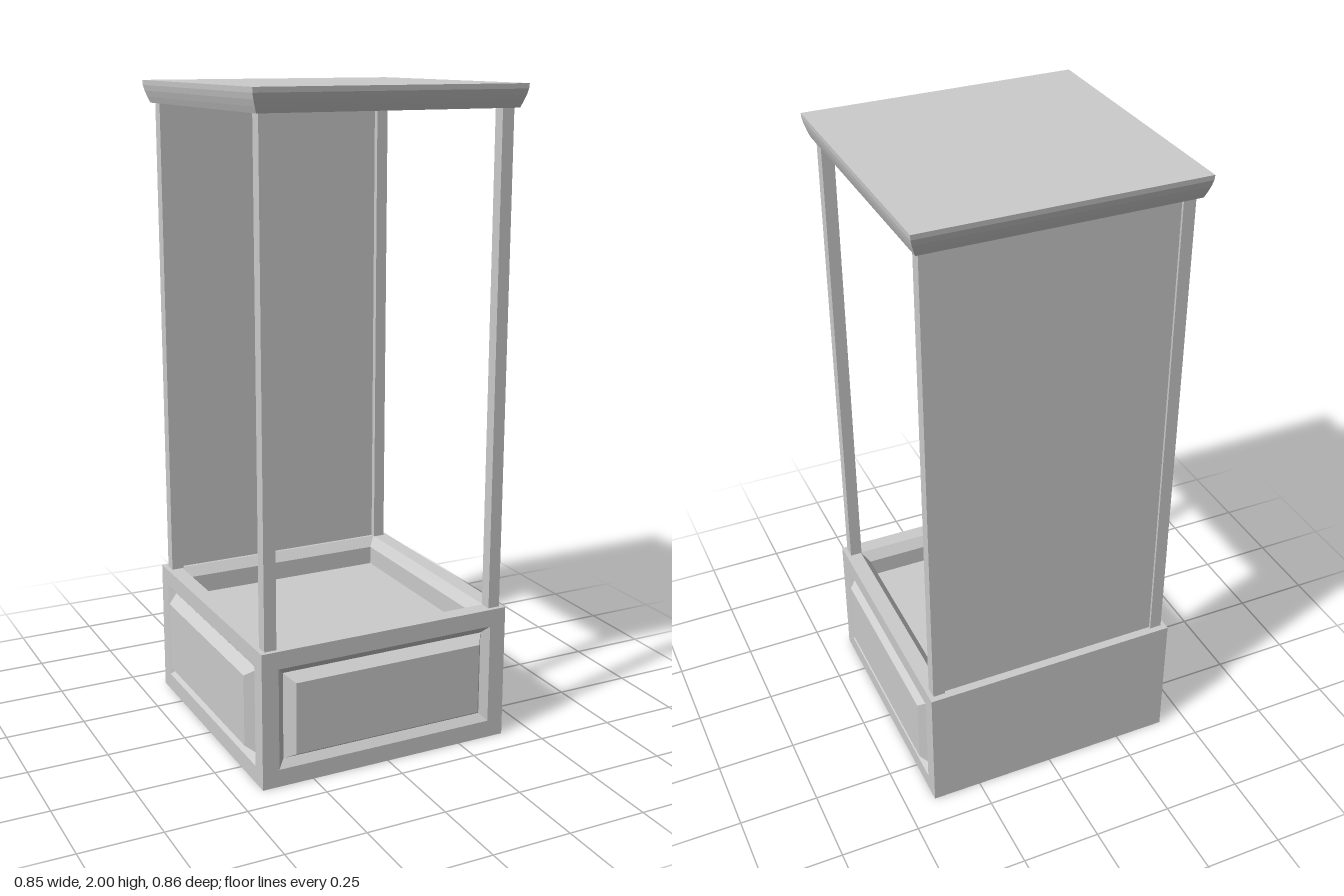
import * as THREE from 'three';

// Nested rectangles [halfWidth, halfHeight, depth] joined in order, facing +z.
// A zero-sized rectangle closes an end.
function steppedRects(rects) {
  const corners = ([w, h, d]) => [[-w, -h, d], [w, -h, d], [w, h, d], [-w, h, d]];
  const pos = [];
  for (let k = 0; k + 1 < rects.length; k++) {
    const a = corners(rects[k]), b = corners(rects[k + 1]);
    for (let i = 0; i < 4; i++) {
      const j = (i + 1) % 4;
      if (rects[k][0] > 0) pos.push(...a[i], ...a[j], ...b[j]);
      if (rects[k + 1][0] > 0) pos.push(...a[i], ...b[j], ...b[i]);
    }
  }
  const geo = new THREE.BufferGeometry();
  geo.setAttribute('position', new THREE.Float32BufferAttribute(pos, 3));
  geo.computeVertexNormals();
  return geo;
}

export function createModel() {
  const group = new THREE.Group();
  const material = new THREE.MeshStandardMaterial({ color: 0xcccccc, flatShading: true });
  const add = (parent, name, geo, x = 0, y = 0, z = 0) => {
    const mesh = new THREE.Mesh(geo, material);
    mesh.name = name;
    mesh.position.set(x, y, z);
    parent.add(mesh);
    return mesh;
  };

  const half = 0.41, height = 0.425, mid = height / 2;

  // Base: three panelled sides, a plain back and bottom, a sunken tray on top
  const base = new THREE.Group();
  base.name = 'base';
  base.position.set(-0.004, 0, 0.002);
  group.add(base);

  const panelled = (raise) => steppedRects([
    [half, mid, half],
    [0.357, 0.158, half],
    [0.335, 0.135, half - 0.02],
    [0.309, 0.112, half + raise],
    [0, 0, half + raise],
  ]);
  add(base, 'frontPanel', panelled(0.016), 0, mid, 0);
  add(base, 'leftPanel', panelled(0.01), 0, mid, 0).rotation.y = Math.PI / 2;
  add(base, 'rightPanel', panelled(0.014), 0, mid, 0).rotation.y = -Math.PI / 2;
  add(base, 'baseBack', steppedRects([[half, mid, half], [0, 0, half]]), 0, mid, 0).rotation.y = Math.PI;
  add(base, 'baseBottom', steppedRects([[half, half, 0], [0, 0, 0]])).rotation.x = Math.PI / 2;
  add(base, 'tray', steppedRects([
    [half, half, height],
    [0.36, 0.36, height],
    [0.335, 0.335, height - 0.03],
    [0.335, 0.335, height - 0.09],
    [0, 0, height - 0.09],
  ])).rotation.x = -Math.PI / 2;

  // Corner posts
  const roofBottom = 1.932, postHeight = roofBottom - height, postY = (roofBottom + height) / 2;
  const postGeo = new THREE.BoxGeometry(0.038, postHeight, 0.038);
  for (const x of [-0.38, 0.373])
    for (const z of [0.379, -0.369])
      add(group, 'post', postGeo, x, postY, z);

  // Thin back board between the rear posts
  add(group, 'backBoard', new THREE.BoxGeometry(0.72, postHeight, 0.012), -0.0035, postY, -0.374);

  // Roof with a gently curved, flaring edge
  const edge = [[0.407, 1.932], [0.414, 1.95], [0.42, 1.968], [0.424, 1.985], [0.425, 2]];
  const roof = add(group, 'roof', steppedRects([
    [0, 0, roofBottom],
    ...edge.map(([r, y]) => [r, r, y]),
    [0, 0, 2],
  ]), 0, 0, -0.003);
  roof.rotation.x = -Math.PI / 2;

  return group;
}
